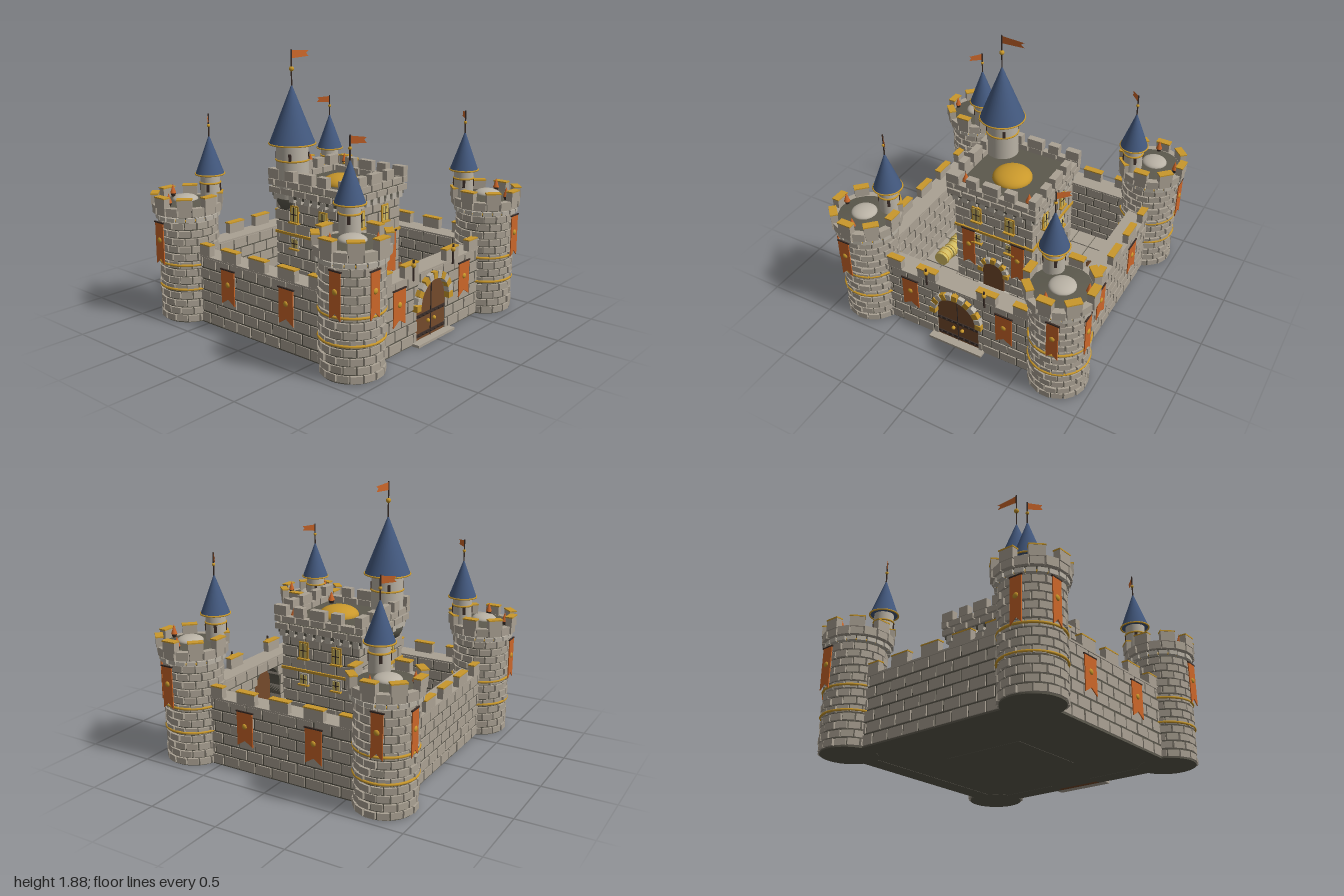
import * as THREE from 'three';
import { mergeGeometries } from 'three/addons/utils/BufferGeometryUtils.js';

const PI = Math.PI;
function material(name, color, side = THREE.FrontSide) {
  const m = new THREE.MeshStandardMaterial({ color, side });
  m.name = name;
  return m;
}
const M = {
  stone: material('stone', 0xaaa193), pale: material('paleStone', 0xb9b2a5),
  mortar: material('mortar', 0x5c594d), gold: material('gold', 0xc9982b),
  blue: material('roofBlue', 0x43597f), orange: material('bannerOrange', 0xcc6629, THREE.DoubleSide),
  wood: material('wood', 0x744a2b), iron: material('iron', 0x3a2d28), straw: material('straw', 0xd0ba62),
};

// Small helpers: seeded noise, primitives, merging
let seed = 7;
const rnd = () => (seed = (seed * 16807) % 2147483647) / 2147483647;
const at = (g, x, y, z, ry = 0) => g.rotateY(ry).translate(x, y, z);
const box = (w, h, d, x = 0, y = 0, z = 0, ry = 0) => at(new THREE.BoxGeometry(w, h, d), x, y, z, ry);
const cyl = (r0, r1, y0, y1, x = 0, z = 0, n = 32) => new THREE.CylinderGeometry(r1, r0, y1 - y0, n).translate(x, (y0 + y1) / 2, z);
const ball = (r, x, y, z) => new THREE.SphereGeometry(r, 16, 10).translate(x, y, z);
const ring = (r, t, y, x = 0, z = 0) => new THREE.TorusGeometry(r, t, 8, 40).rotateX(PI / 2).translate(x, y, z);
const dome = (r, h, x, y, z) => new THREE.SphereGeometry(r, 32, 10, 0, 2 * PI, 0, PI / 2).scale(1, h / r, 1).translate(x, y, z);
function part(parent, name, mat, geos) {
  const list = [].concat(geos).map((g) => (g.index ? g.toNonIndexed() : g));
  const mesh = new THREE.Mesh(list.length > 1 ? mergeGeometries(list) : list[0], mat);
  mesh.name = name;
  parent.add(mesh);
  return mesh;
}
function group(parent, name) {
  const g = new THREE.Group();
  g.name = name;
  parent.add(g);
  return g;
}

// Running-bond courses facing +z; gap(y) is the half width of an opening
function brickFace(half, y0, y1, rows, bw, z0, z1, gap = () => 0) {
  const out = [], h = (y1 - y0) / rows;
  for (let r = 0; r < rows; r++) {
    const y = y0 + (r + 0.5) * h, c = gap(y);
    for (let x = -half - (r % 2) * bw * 0.5; x < half; x += bw) {
      const a = Math.max(x + 0.006, -half), b = Math.min(x + bw - 0.006, half);
      const spans = c ? [[a, Math.min(b, -c)], [Math.max(a, c), b]] : [[a, b]];
      for (const [s, e] of spans) {
        if (e - s < 0.012) continue;
        const j = rnd() * 0.005;
        out.push(box(e - s, h - 0.013, z1 - z0 - j, (s + e) / 2, y, (z0 + z1 - j) / 2));
      }
    }
  }
  return out;
}
// Curved courses round a shaft
function brickRing(r, y0, y1, rows, n, depth, x, z) {
  const out = [], h = (y1 - y0) / rows, w = (2 * PI * r) / n - 0.011;
  for (let i = 0; i < rows; i++) for (let k = 0; k < n; k++) {
    const a = ((k + (i % 2) / 2) / n) * 2 * PI, rr = r - depth / 2 + (rnd() - 0.5) * 0.01;
    out.push(box(w, h - 0.011, depth, x + rr * Math.sin(a), y0 + (i + 0.5) * h, z + rr * Math.cos(a), a));
  }
  return out;
}
// Hanging swallowtail banner facing +z, top edge at y = 0
function bannerGeo(w, h) {
  const s = new THREE.Shape([[-w / 2, 0], [w / 2, 0], [w / 2, -h], [0, -h + 0.04], [-w / 2, -h]].map((p) => new THREE.Vector2(...p)));
  return new THREE.ExtrudeGeometry(s, { depth: 0.007, bevelEnabled: false });
}
function banner(parent, w, h, x, y, z, ry) {
  const g = group(parent, 'banner');
  part(g, 'bannerCloth', M.orange, bannerGeo(w, h));
  part(g, 'bannerStud', M.gold, ball(0.02, 0, -h * 0.42, 0.008).scale(1, 1, 0.6));
  part(g, 'bannerRod', M.iron, box(w + 0.015, 0.009, 0.01, 0, 0, 0.004));
  g.position.set(x, y, z);
  g.rotation.y = ry;
}
function pennant(len, h) {
  const pts = [[0, h / 2], [len, h * 0.3], [len * 0.85, 0], [len, -h * 0.4], [0, -h / 2]];
  return new THREE.ShapeGeometry(new THREE.Shape(pts.map((p) => new THREE.Vector2(...p))));
}
function archShape(r, spring) {
  const s = new THREE.Shape();
  s.moveTo(-r, 0).lineTo(r, 0).lineTo(r, spring).absarc(0, spring, r, 0, PI, false).lineTo(-r, 0);
  return s;
}
function archStones(parent, r, t, n, spring, y0, z, d) {
  const sets = [[], []];
  for (let i = 0; i < n; i++) {
    const a = (i / (n - 1)) * PI;
    sets[i % 2].push(box(t, (PI * r) / n * 0.95, d).rotateZ(a).translate(r * Math.cos(a), y0 + spring + r * Math.sin(a), z));
  }
  part(parent, 'archGoldStones', M.gold, sets[0]);
  part(parent, 'archPaleStones', M.pale, sets[1]);
}
// Round turret with cone roof, finial and flag
function turret(parent, o) {
  const { x, z, r, y0, y1, roofR, roofY, tip, flagLen, flagH, flagRy } = o;
  part(parent, 'turretShaft', M.pale, cyl(r * 1.04, r, y0, y1, x, z));
  part(parent, 'turretCorbel', M.mortar, dome(r * 1.04, r, 0, 0, 0).rotateX(PI).translate(x, y0, z));
  part(parent, 'turretTrim', M.gold, [ring(roofR, 0.006, y1, x, z), ring(r * 1.02, 0.007, y0 + (y1 - y0) * 0.7, x, z)]);
  part(parent, 'turretRoof', M.blue, cyl(roofR, 0.002, y1, roofY, x, z, 40));
  part(parent, 'finialPole', M.iron, cyl(0.005, 0.005, roofY - 0.02, tip, x, z, 8));
  part(parent, 'finialBall', M.gold, ball(r * 0.14 + 0.002, x, roofY + (tip - roofY) * 0.45, z));
  part(parent, 'flag', M.orange, at(pennant(flagLen, flagH), x, tip - flagH / 2 - 0.006, z, flagRy));
  const slits = [0, 1, 2, 3].map((k) => {
    const a = (k / 4) * 2 * PI + 0.6;
    return box(0.02, 0.06, 0.012, x + r * Math.sin(a), y1 - 0.09, z + r * Math.cos(a), a);
  });
  part(parent, 'turretSlits', M.iron, slits);
}

function cornerTower(root, k) {
  const g = group(root, 'cornerTower'), c = 0.75;
  g.rotation.y = (k * PI) / 2;
  part(g, 'towerCore', M.mortar, [cyl(0.193, 0.19, 0, 0.76, c, c), cyl(0.2, 0.225, 0.74, 0.825, c, c)]);
  part(g, 'towerBricks', M.stone, brickRing(0.205, 0.005, 0.725, 13, 15, 0.04, c, c));
  part(g, 'towerBands', M.gold, [0.245, 0.42, 0.74].map((y) => ring(0.206, 0.009, y, c, c)));
  part(g, 'crownCorbels', M.pale, brickRing(0.225, 0.725, 0.765, 1, 20, 0.05, c, c));
  part(g, 'crownBricks', M.stone, brickRing(0.24, 0.765, 0.835, 1, 16, 0.045, c, c));
  part(g, 'towerRoof', M.mortar, cyl(0.222, 0.06, 0.825, 0.85, c, c));
  part(g, 'roofCap', M.pale, dome(0.09, 0.035, c + 0.01, 0.845, c + 0.01));
  const stones = [], caps = [];
  for (let i = 0; i < 8; i++) {
    const a = (i * PI) / 4, x = c + 0.222 * Math.sin(a), z = c + 0.222 * Math.cos(a);
    stones.push(box(0.1, 0.075, 0.048, x, 0.858, z, a));
    caps.push(box(0.106, 0.009, 0.054, x, 0.8955, z, a));
  }
  part(g, 'towerMerlons', M.stone, stones);
  part(g, 'merlonCaps', M.gold, caps);
  // Torches on the roof edge
  for (const [x, z] of [[0.73, 0.93], [0.93, 0.73]]) {
    part(g, 'torchBowl', M.iron, cyl(0.012, 0.02, 0.83, 0.855, x, z, 10));
    part(g, 'torchFlame', M.orange, cyl(0.022, 0.001, 0.855, 0.92, x, z, 10));
  }
  banner(g, 0.082, 0.3, 0.8, 0.71, c + 0.213, 0);
  banner(g, 0.082, 0.3, c + 0.213, 0.71, 0.8, PI / 2);
  turret(g, { x: 0.635, z: 0.635, r: 0.068, y0: 0.82, y1: 1.025, roofR: 0.1, roofY: 1.295, tip: 1.445, flagLen: 0.1, flagH: 0.05, flagRy: PI / 4 });
}

function curtainWall(root, k) {
  const g = group(root, 'curtainWall'), front = k === 0;
  g.rotation.y = (k * PI) / 2;
  const gap = (y) => (y < 0.26 ? 0.165 : y < 0.43 ? Math.sqrt(Math.max(0.0001, 0.03 - (y - 0.26) ** 2)) : 0);
  const shape = new THREE.Shape([[-0.65, 0], [0.65, 0], [0.65, 0.485], [-0.65, 0.485]].map((p) => new THREE.Vector2(...p)));
  if (front) shape.holes.push(archShape(0.165, 0.26));
  part(g, 'wallCore', M.mortar, new THREE.ExtrudeGeometry(shape, { depth: 0.133, bevelEnabled: false, curveSegments: 16 }).translate(0, 0, 0.677));
  part(g, 'wallBricks', M.stone, brickFace(0.6, 0.005, 0.485, 6, 0.133, 0.668, 0.82, front ? gap : undefined));
  part(g, 'wallWalk', M.stone, box(1.3, 0.012, 0.152, 0, 0.487, 0.744));
  const xs = front ? [-0.515, -0.235, 0.235, 0.515] : [-0.53, -0.265, 0, 0.265, 0.53];
  part(g, 'wallMerlons', M.stone, xs.map((x) => box(0.145, 0.075, 0.044, x, 0.53, 0.797)));
  part(g, 'wallMerlonCaps', M.gold, xs.map((x) => box(0.153, 0.009, 0.05, x, 0.5715, 0.797)));
  if (k !== 2) for (const x of front ? [-0.373, 0.373] : [-0.27, 0.27]) banner(g, 0.125, 0.245, x, 0.442, 0.824, 0);
}

function gatehouse(root) {
  const g = group(root, 'gate');
  part(g, 'gateDoor', M.wood, new THREE.ExtrudeGeometry(archShape(0.165, 0.26), { depth: 0.04, bevelEnabled: false, curveSegments: 16 }).translate(0, 0, 0.77));
  archStones(g, 0.183, 0.048, 13, 0.26, 0, 0.825, 0.05);
  part(g, 'gateStraps', M.iron, [0.05, 0.185].map((y) => box(0.32, 0.022, 0.008, 0, y, 0.813)).concat(box(0.006, 0.41, 0.006, 0, 0.21, 0.812)));
  const studs = [];
  for (const y of [0.05, 0.185]) for (let i = -3; i <= 3; i++) studs.push(ball(0.009, i * 0.045, y, 0.817));
  part(g, 'gateStuds', M.iron, studs);
  part(g, 'gateHandles', M.gold, [-0.035, 0.035].map((x) => ball(0.014, x, 0.13, 0.818)));
  part(g, 'threshold', M.stone, [box(0.42, 0.018, 0.06, 0, 0.009, 0.84)]);
  for (const x of [-0.228, 0.228]) {
    part(g, 'torchPole', M.iron, cyl(0.007, 0.007, 0.46, 0.6, x, 0.828, 8));
    part(g, 'torchBall', M.gold, ball(0.017, x, 0.565, 0.828));
  }
}

function keep(root) {
  const g = group(root, 'keep');
  part(g, 'keepCore', M.mortar, [box(0.6, 0.86, 0.6, 0, 0.43, 0), box(0.66, 0.07, 0.66, 0, 0.895, 0)]);
  for (let k = 0; k < 4; k++) {
    const s = group(g, 'keepSide');
    s.rotation.y = (k * PI) / 2;
    part(s, 'keepBricks', M.stone, brickFace(0.31, 0.03, 0.85, 10, 0.125, 0.285, 0.313));
    part(s, 'keepBand', M.gold, box(0.635, 0.018, 0.02, 0, 0.6, 0.309));
    part(s, 'keepCorbels', M.pale, [-4, -3, -2, -1, 0, 1, 2, 3, 4].map((i) => box(0.045, 0.045, 0.05, i * 0.073, 0.858, 0.308)));
    part(s, 'parapetBricks', M.stone, brickFace(0.35, 0.88, 0.99, 2, 0.117, 0.3, 0.35));
    part(s, 'keepMerlons', M.stone, [[-0.3, 0.1], [-0.15, 0.08], [0, 0.12], [0.15, 0.08]].map(([x, w]) => box(w, 0.07, 0.05, x, 1.022, 0.323)));
    for (const x of [-0.132, 0.132]) for (const [y, h] of [[0.75, 0.11], [0.54, 0.07]]) {
      part(s, 'windowFrame', y > 0.6 ? M.gold : M.pale, box(0.074, h + 0.012, 0.02, x, y, 0.309));
      part(s, 'windowPane', M.straw, box(0.054, h - 0.008, 0.006, x, y, 0.32));
      part(s, 'windowBars', M.iron, [box(0.007, h - 0.008, 0.006, x, y, 0.322), box(0.054, 0.006, 0.006, x, y, 0.322)]);
      part(s, 'windowSill', M.gold, box(0.085, 0.01, 0.035, x, y - h / 2 - 0.006, 0.318));
    }
  }
  part(g, 'keepRoof', M.mortar, box(0.62, 0.01, 0.62, 0, 0.935, 0));
  part(g, 'keepDome', M.gold, dome(0.143, 0.07, 0, 0.945, 0.035));
  // Entrance with steps
  part(g, 'keepDoor', M.wood, new THREE.ExtrudeGeometry(archShape(0.085, 0.17), { depth: 0.012, bevelEnabled: false }).translate(0, 0.1, 0.312));
  archStones(g, 0.105, 0.04, 9, 0.17, 0.1, 0.318, 0.035);
  part(g, 'keepSteps', M.pale, [0, 1, 2].map((i) => box(0.26, 0.03 * (3 - i), 0.05, 0, 0.03 + 0.015 * (3 - i), 0.34 + i * 0.05)));
  for (const x of [-0.2, 0.2]) banner(g, 0.1, 0.32, x, 0.6, 0.322, 0);
  for (const x of [-0.25, 0.25]) {
    part(g, 'torchBowl', M.iron, cyl(0.014, 0.024, 0.94, 0.965, x, 0.25, 10));
    part(g, 'torchFlame', M.orange, cyl(0.026, 0.001, 0.965, 1.03, x, 0.25, 10));
  }
  const t = group(g, 'greatTurret');
  turret(t, { x: -0.228, z: -0.228, r: 0.113, y0: 0.85, y1: 1.232, roofR: 0.163, roofY: 1.64, tip: 1.88, flagLen: 0.175, flagH: 0.055, flagRy: 0 });
}

function courtyard(root) {
  const g = group(root, 'courtyard');
  part(g, 'foundation', M.mortar, box(1.6, 0.022, 1.6, 0, 0.013, 0));
  const tiles = [];
  for (let i = -4; i <= 4; i++) for (let j = -4; j <= 4; j++) tiles.push(box(0.139, 0.012, 0.139, i * 0.149, 0.03, j * 0.149));
  part(g, 'pavingTiles', M.stone, tiles);
  // Straw rolls in a row
  for (let i = 0; i < 5; i++) {
    const roll = group(g, 'strawRoll');
    part(roll, 'strawBody', M.straw, new THREE.CylinderGeometry(0.055, 0.055, 0.095, 20).rotateX(PI / 2));
    part(roll, 'strawTies', M.gold, [-0.025, 0.025].map((z) => new THREE.TorusGeometry(0.055, 0.003, 6, 24).translate(0, 0, z)));
    roll.position.set(-0.53 + (i % 2) * 0.01, 0.09, -0.24 + i * 0.103);
    roll.rotation.y = (rnd() - 0.5) * 0.25;
  }
  // Barrels
  const profile = [[0, 0], [0.038, 0], [0.049, 0.06], [0.038, 0.12], [0, 0.12]].map((p) => new THREE.Vector2(...p));
  for (const [x, z] of [[0.44, -0.16], [0.53, -0.22], [0.54, -0.1]]) {
    part(g, 'barrel', M.wood, new THREE.LatheGeometry(profile, 20).translate(x, 0.036, z));
    part(g, 'barrelHoops', M.iron, [0.066, 0.126].map((y) => ring(0.044, 0.004, y, x, z)));
  }
  // Crates
  const crates = [[0.53, 0.11, 0.036, 0.1], [0.53, 0.12, 0.136, 0.6], [0.445, 0.225, 0.036, 0.5]];
  part(g, 'crates', M.wood, crates.map(([x, z, y, a]) => box(0.095, 0.095, 0.095, x, y + 0.048, z, a)));
  // Sacks with knots
  const sacks = [[-0.15, -0.535], [-0.1, -0.485], [-0.07, -0.55], [-0.025, -0.52], [0.06, -0.535], [0.065, -0.485], [0.11, -0.55]];
  part(g, 'sacks', M.pale, sacks.map(([x, z]) => ball(0.042, x, 0.075, z)));
  part(g, 'sackKnots', M.iron, sacks.map(([x, z]) => cyl(0.01, 0.012, 0.11, 0.125, x, z, 8)));
}

export function createModel() {
  seed = 7;
  const root = new THREE.Group();
  root.name = 'castle';
  courtyard(root);
  for (let k = 0; k < 4; k++) {
    cornerTower(root, k);
    curtainWall(root, k);
  }
  gatehouse(root);
  keep(root);
  return root;
}
